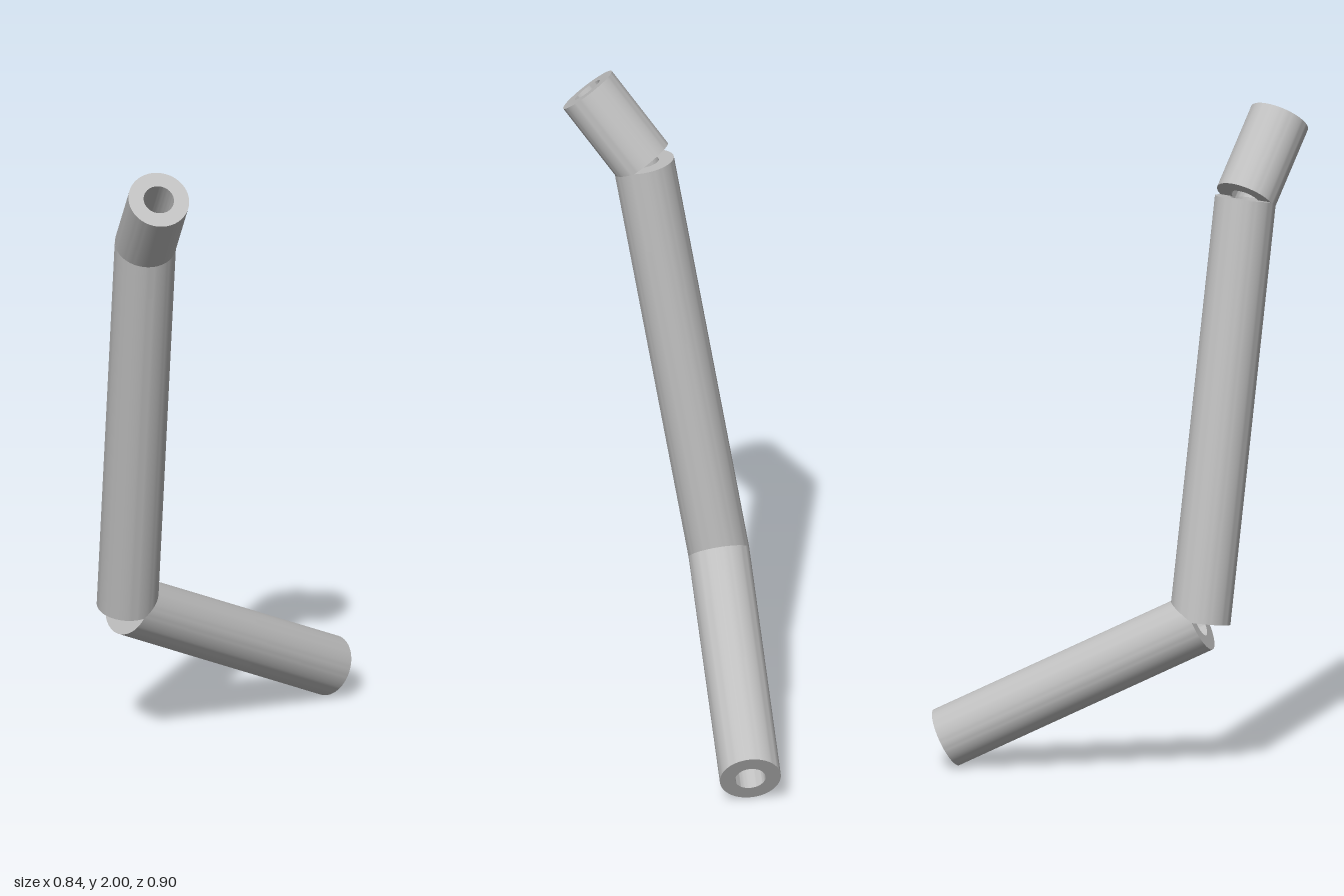
import * as THREE from 'three';
import { toCreasedNormals } from 'three/addons/utils/BufferGeometryUtils.js';

const OUTER = 0.092;
const INNER = 0.046;

// Hollow, square-cut pipe running from point a to point b
function pipe(name, a, b, material) {
  const ring = new THREE.Shape().absarc(0, 0, OUTER, 0, Math.PI * 2, false);
  ring.holes.push(new THREE.Path().absarc(0, 0, INNER, 0, Math.PI * 2, true));
  const geometry = toCreasedNormals(
    new THREE.ExtrudeGeometry(ring, { depth: a.distanceTo(b), bevelEnabled: false, curveSegments: 32 }),
    Math.PI / 5
  );
  const mesh = new THREE.Mesh(geometry, material);
  mesh.name = name;
  mesh.position.copy(a);
  mesh.quaternion.setFromUnitVectors(new THREE.Vector3(0, 0, 1), b.clone().sub(a).normalize());
  return mesh;
}

export function createModel() {
  const model = new THREE.Group();
  model.name = 'bentPipe';
  const metal = new THREE.MeshStandardMaterial({ color: 0xbfbfbf });
  metal.name = 'grey metal';

  // Centre-line points: neighbouring pipes meet on their axes, leaving open notches outside the bends
  const topEnd = new THREE.Vector3(-0.33, 1.941, 0.378);
  const upperJoint = new THREE.Vector3(-0.33, 1.728, 0.201);
  const lowerJoint = new THREE.Vector3(-0.33, 0.471, -0.036);
  const bottomEnd = new THREE.Vector3(0.368, 0.082, -0.363);

  model.add(
    pipe('upperPipe', topEnd, upperJoint, metal),
    pipe('middlePipe', upperJoint, lowerJoint, metal),
    pipe('lowerPipe', lowerJoint, bottomEnd, metal)
  );
  return model;
}
